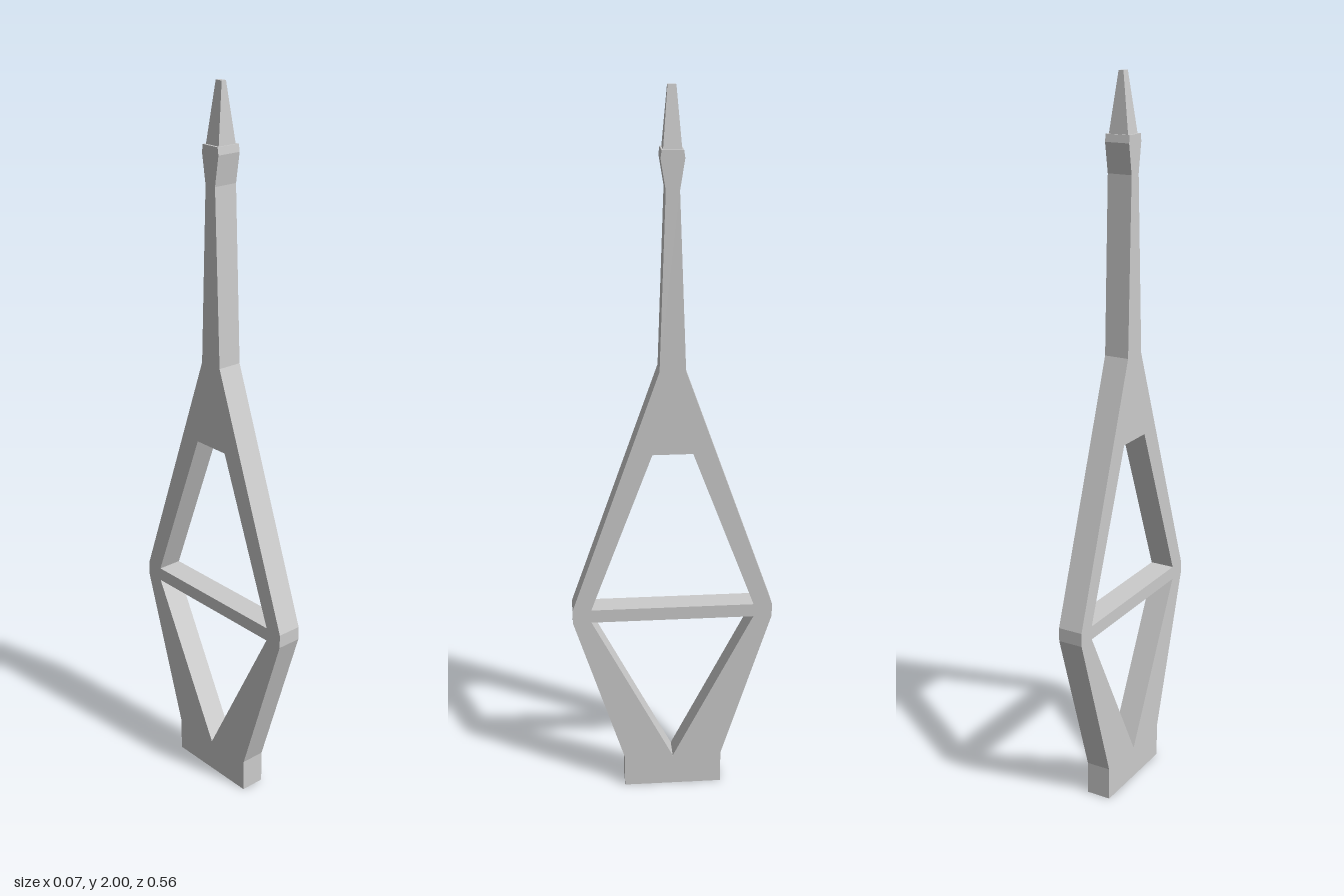
import * as THREE from 'three';

const THICKNESS = 0.07;

// Mirrors a right-hand profile, given bottom to top, into a closed outline
function mirrored(half) {
  const left = half.filter(([u]) => u > 0).map(([u, y]) => [-u, y]).reverse();
  return [...half, ...left].map(([u, y]) => new THREE.Vector2(u, y));
}

export function createModel() {
  const group = new THREE.Group();
  const material = new THREE.MeshStandardMaterial({ color: 0xcccccc, flatShading: true });

  // Flat frame: foot, diamond truss, tapering mast and flared collar
  const outline = new THREE.Shape(mirrored([
    [0.14, 0], [0.14, 0.095], [0.28, 0.54], [0.28, 0.578],
    [0.035, 1.27], [0.018, 1.745], [0.031, 1.825], [0.028, 1.845],
  ]));
  // Openings above and below the crossbar
  outline.holes.push(
    new THREE.Path(mirrored([[0.228, 0.578], [0.055, 1.037]])),
    new THREE.Path(mirrored([[0, 0.093], [0.228, 0.54]])),
  );
  const frameGeometry = new THREE.ExtrudeGeometry(outline, { depth: THICKNESS, bevelEnabled: false });
  frameGeometry.translate(0, 0, -THICKNESS / 2).rotateY(-Math.PI / 2);
  const frame = new THREE.Mesh(frameGeometry, material);
  frame.name = 'frame';
  group.add(frame);

  // Tip: a box narrowed towards its top
  const bottom = 1.845, top = 2;
  const tipGeometry = new THREE.BoxGeometry(0.056, top - bottom, 0.048);
  const position = tipGeometry.attributes.position;
  for (let i = 0; i < position.count; i++) {
    if (position.getY(i) > 0) {
      position.setX(i, Math.sign(position.getX(i)) * 0.007);
      position.setZ(i, Math.sign(position.getZ(i)) * 0.011);
    }
  }
  tipGeometry.computeVertexNormals();
  const tip = new THREE.Mesh(tipGeometry, material);
  tip.name = 'tip';
  tip.position.y = (bottom + top) / 2;
  group.add(tip);

  return group;
}
